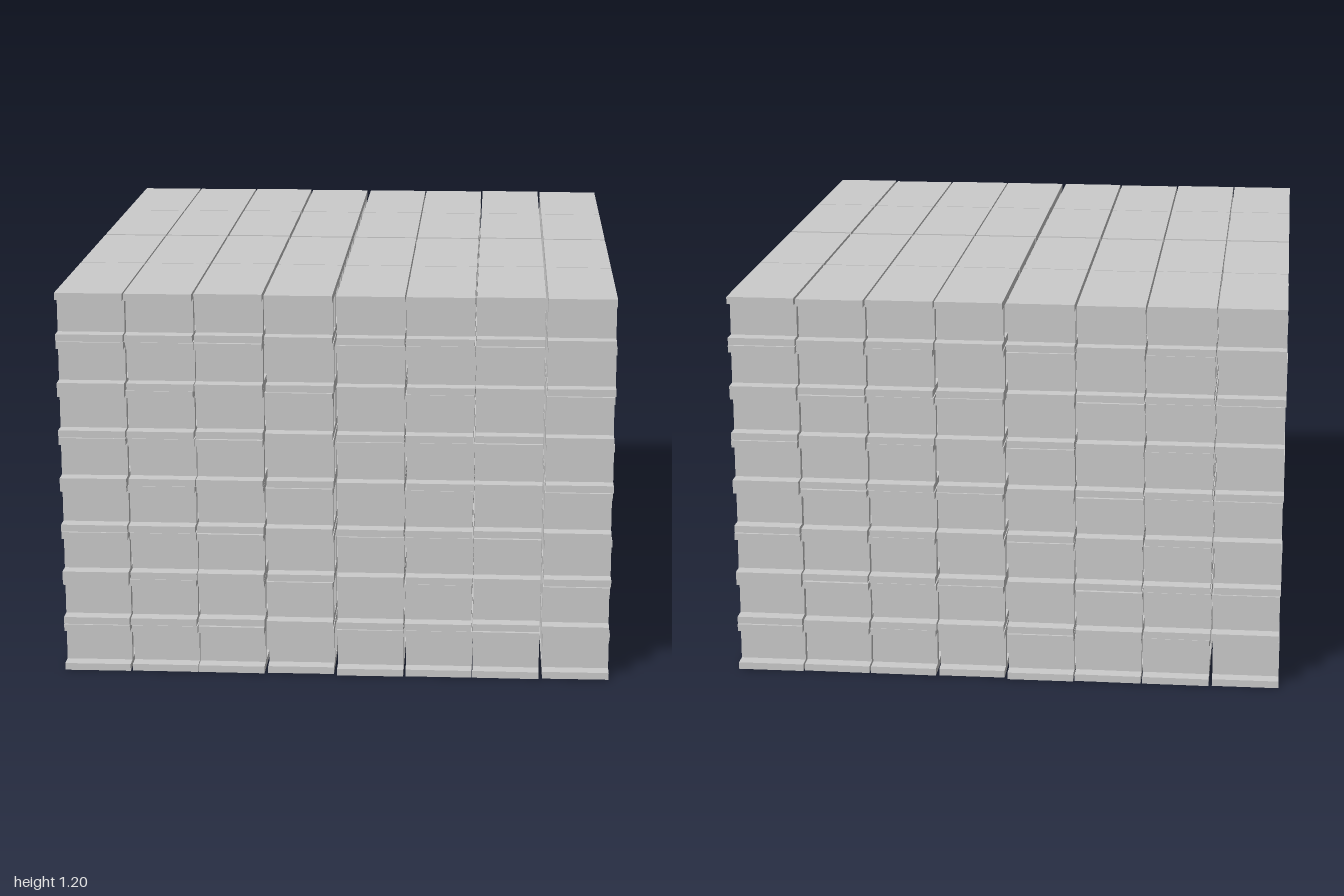
import * as THREE from 'three';

const LENGTH = 0.487, WIDTH = 0.206, HEIGHT = 0.15, PITCH = 0.1507;
const PLATE = 0.022, OUTER = 0.2, WEB = 0.026, INNER = 0.062;

// Hollow block: top and bottom plates joined by four webs, extruded across its width
function blockGeometry() {
  const l = LENGTH / 2, top = HEIGHT - PLATE;
  const profile = new THREE.Shape([
    [-l, 0], [l, 0], [l, PLATE], [OUTER, PLATE], [OUTER, top], [l, top],
    [l, HEIGHT], [-l, HEIGHT], [-l, top], [-OUTER, top], [-OUTER, PLATE], [-l, PLATE],
  ].map(([x, y]) => new THREE.Vector2(x, y)));
  const addHole = (a, b) => profile.holes.push(new THREE.Path([
    new THREE.Vector2(a, PLATE), new THREE.Vector2(a, top),
    new THREE.Vector2(b, top), new THREE.Vector2(b, PLATE),
  ]));
  addHole(-OUTER + WEB, -INNER - WEB);
  addHole(-INNER, INNER);
  addHole(INNER + WEB, OUTER - WEB);
  const geometry = new THREE.ExtrudeGeometry(profile, { depth: WIDTH, bevelEnabled: false });
  geometry.translate(0, 0, -WIDTH / 2);
  geometry.rotateY(Math.PI / 2);
  return geometry;
}

// Slight misplacement of the four columns, for even and odd layers
const SHIFT_Z = [[0.004, 0, 0, -0.006], [0, 0, -0.009, 0]];
const SHIFT_X = [[-0.001, 0.002, 0, 0.002], [0, -0.001, -0.001, 0.001]];
const TURN = [[0.008, 0, -0.006, 0.008], [0, 0, 0, 0]];

export function createModel() {
  const model = new THREE.Group();
  model.name = 'blockStack';
  const geometry = blockGeometry();
  const material = new THREE.MeshStandardMaterial({ color: 0xcccccc });

  // Four identical packs, each four blocks wide, two long and eight layers high
  for (const px of [-1, 1]) for (const pz of [-1, 1]) {
    const pack = new THREE.Group();
    pack.name = 'blockPack';
    pack.position.set(px * 0.427, 0, pz * 0.4985);
    for (let layer = 0; layer < 8; layer++) {
      const odd = layer % 2;
      for (let col = 0; col < 4; col++) for (const row of [-1, 1]) {
        const block = new THREE.Mesh(geometry, material);
        block.name = 'hollowBlock';
        block.position.set(
          (col - 1.5) * 0.2115 + SHIFT_X[odd][col],
          layer * PITCH,
          row * 0.2465 + SHIFT_Z[odd][col]);
        block.rotation.y = TURN[odd][col];
        pack.add(block);
      }
    }
    model.add(pack);
  }
  return model;
}
